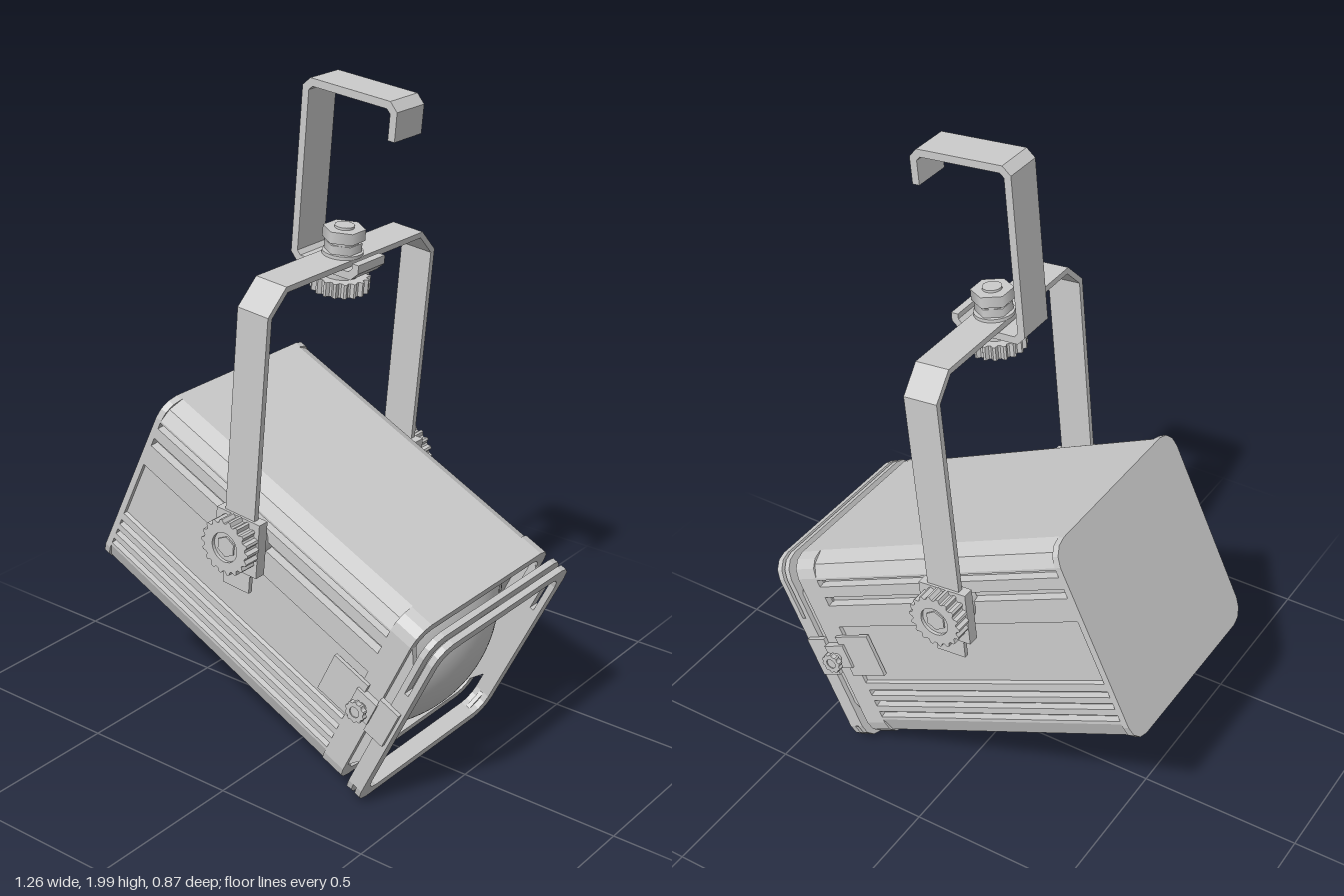
import * as THREE from 'three';

const grey = new THREE.MeshStandardMaterial({ color: 0xcccccc });

function add(parent, name, geo, x = 0, y = 0, z = 0) {
  const m = new THREE.Mesh(geo, grey);
  m.name = name;
  m.position.set(x, y, z);
  parent.add(m);
  return m;
}

const toShape = pts => new THREE.Shape(pts.map(p => new THREE.Vector2(p[0], p[1])));
const box = (x, y, z) => new THREE.BoxGeometry(x, y, z);

// Extrudes a (z, y) outline along x from x0 to x1.
function alongX(shape, x0, x1) {
  return new THREE.ExtrudeGeometry(shape, { depth: x1 - x0, bevelEnabled: false, curveSegments: 4 })
    .rotateY(Math.PI / 2).translate(x0, 0, 0);
}

// Rounded square outline, counter-clockwise, corner in three facets.
function square(hw, hv, r) {
  const pts = [];
  for (let q = 0; q < 4; q++) {
    const sx = q === 0 || q === 3 ? 1 : -1, sy = q < 2 ? 1 : -1;
    for (let i = 0; i <= 3; i++) {
      const a = (q + i / 3) * Math.PI / 2;
      pts.push([sx * (hw - r) + r * Math.cos(a), sy * (hv - r) + r * Math.sin(a)]);
    }
  }
  return pts;
}

function ring(hw, hv, r, t) {
  const s = toShape(square(hw, hv, r));
  s.holes.push(new THREE.Path(square(hw - t, hv - t, r * 0.8).map(p => new THREE.Vector2(...p))));
  return s;
}

// Bent flat strip of constant thickness, with its corners cut by r, centred in depth.
function strip(points, t, width, r) {
  const P = points.map(p => new THREE.Vector2(...p)), path = [P[0]];
  for (let i = 1; i < P.length - 1; i++) {
    for (const n of [P[i - 1], P[i + 1]]) {
      path.push(P[i].clone().add(n.clone().sub(P[i]).setLength(r)));
    }
  }
  path.push(P[P.length - 1]);
  const a = [], b = [];
  path.forEach((p, i) => {
    const d0 = p.clone().sub(path[Math.max(i - 1, 0)]).normalize();
    const d1 = path[Math.min(i + 1, path.length - 1)].clone().sub(p).normalize();
    const d = d0.clone().add(d1).normalize();
    const k = t / 2 / Math.max(0.5, d.dot(i ? d0 : d1));
    a.push([p.x - d.y * k, p.y + d.x * k]);
    b.unshift([p.x + d.y * k, p.y - d.x * k]);
  });
  return new THREE.ExtrudeGeometry(toShape([...a, ...b]), { depth: width, bevelEnabled: false })
    .translate(0, 0, -width / 2);
}

// Toothed hand knob along z, starting at z = 0.
function knob(parent, name, r, depth, teeth, bore) {
  const g = new THREE.Group();
  g.name = name;
  const pts = [];
  for (let i = 0; i < teeth * 4; i++) {
    const a = i / (teeth * 4) * Math.PI * 2, q = i % 4 < 2 ? r : r * 0.88;
    pts.push([q * Math.cos(a), q * Math.sin(a)]);
  }
  const s = toShape(pts);
  s.holes.push(new THREE.Path().absarc(0, 0, bore, 0, Math.PI * 2, true));
  add(g, 'knobGrip', new THREE.ExtrudeGeometry(s, { depth, bevelEnabled: false }));
  add(g, 'knobCore', new THREE.CylinderGeometry(bore, bore, depth * 0.8, 24).rotateX(Math.PI / 2), 0, 0, depth * 0.4);
  parent.add(g);
  return g;
}

// Ribbed housing outline: recessed centre panel and long grooves on both sides.
function ribbedOutline() {
  const w = 0.33, h = 0.322;
  const side = [[w, -0.25]];
  for (const [v0, v1, d] of [[-0.24, -0.22, 0.02], [-0.2, -0.18, 0.02], [-0.16, -0.14, 0.02],
    [-0.115, 0.09, 0.012], [0.165, 0.195, 0.025], [0.232, 0.255, 0.025]]) {
    side.push([w, v0], [w - d, v0 + 0.004], [w - d, v1 - 0.004], [w, v1]);
  }
  const right = [[0.265, -h], [0.31, -h + 0.022], ...side, [w, h - 0.06], [0.31, h - 0.022], [0.265, h]];
  return toShape([...right, ...right.map(([x, y]) => [-x, y]).reverse()]);
}

function buildHead() {
  const head = new THREE.Group();
  head.name = 'lampHead';
  const outline = toShape(square(0.33, 0.322, 0.06));
  add(head, 'backCap', alongX(outline, -0.505, -0.485));
  add(head, 'ribbedHousing', alongX(ribbedOutline(), -0.485, 0.425));
  add(head, 'frontCollar', alongX(ring(0.33, 0.322, 0.06, 0.03), 0.425, 0.5));
  add(head, 'lensPlate', alongX(toShape(square(0.31, 0.3, 0.05)), 0.42, 0.45));

  // Domed lens and its retaining ring
  add(head, 'lens', new THREE.SphereGeometry(0.398, 48, 16, 0, Math.PI * 2, 0, 0.798)
    .rotateZ(-Math.PI / 2), 0.57 - 0.398);
  add(head, 'lensRing', new THREE.TorusGeometry(0.283, 0.008, 8, 48).rotateY(Math.PI / 2), 0.452);

  // Front accessory frame with a slot open at the top
  const frame = new THREE.Group();
  frame.name = 'accessoryFrame';
  frame.position.y = -0.007;
  head.add(frame);
  add(frame, 'rearFrame', alongX(ring(0.33, 0.33, 0.06, 0.036), 0.53, 0.548));
  add(frame, 'frontFrame', alongX(ring(0.33, 0.33, 0.06, 0.036), 0.561, 0.58));
  add(frame, 'slotFiller', alongX(toShape([[-0.33, 0.13], [-0.33, -0.27], [-0.27, -0.33], [0.27, -0.33],
    [0.33, -0.27], [0.33, 0.13], [0.294, 0.13], [0.294, -0.25], [0.25, -0.294], [-0.25, -0.294],
    [-0.294, -0.25], [-0.294, 0.13]]), 0.548, 0.561));

  // Latches joining the frame to the housing on both sides
  for (const s of [1, -1]) {
    const latch = new THREE.Group();
    latch.name = s > 0 ? 'frontLatch' : 'rearLatch';
    latch.rotation.y = s > 0 ? 0 : Math.PI;
    latch.scale.x = s;
    head.add(latch);
    const spacer = new THREE.ExtrudeGeometry(toShape([[0.48, -0.27], [0.5, -0.25], [0.535, -0.19],
      [0.535, 0.19], [0.5, 0.25], [0.48, 0.27]]), { depth: 0.018, bevelEnabled: false });
    add(latch, 'spacer', spacer, 0, 0, 0.296);
    add(latch, 'latchPlate', box(0.13, 0.14, 0.012), 0.385, -0.01, 0.335);
    add(latch, 'latchBlock', box(0.075, 0.08, 0.024), 0.465, -0.006, 0.338);
    add(latch, 'latchStrap', box(0.07, 0.13, 0.016), 0.535, -0.01, 0.335);
    add(latch, 'latchStem', new THREE.CylinderGeometry(0.014, 0.014, 0.03, 12).rotateX(Math.PI / 2), 0.467, -0.006, 0.36);
    knob(latch, 'latchKnob', 0.033, 0.016, 10, 0.016).position.set(0.467, -0.006, 0.37);
  }
  return head;
}

function buildYoke() {
  const yoke = new THREE.Group();
  yoke.name = 'yoke';
  add(yoke, 'yokeStrap', strip([[-0.368, -0.1], [-0.368, 0.753], [0.368, 0.753], [0.368, -0.1]], 0.017, 0.105, 0.065)
    .rotateY(Math.PI / 2));

  // Pivot hardware on both arms
  for (const s of [1, -1]) {
    const pivot = new THREE.Group();
    pivot.name = s > 0 ? 'frontPivot' : 'rearPivot';
    pivot.rotation.y = s > 0 ? 0 : Math.PI;
    pivot.scale.x = s;
    yoke.add(pivot);
    add(pivot, 'pivotSpacer', new THREE.CylinderGeometry(0.07, 0.07, 0.06, 24).rotateX(Math.PI / 2), 0, 0, 0.34);
    add(pivot, 'pivotPlate', box(0.155, 0.17, 0.035), 0, -0.005, 0.367);
    add(pivot, 'armTab', box(0.095, 0.09, 0.014), 0, -0.11, 0.368);
    const k = knob(pivot, 'pivotKnob', 0.084, 0.05, 18, 0.045);
    k.position.z = 0.386;
    add(k, 'pivotBolt', new THREE.CylinderGeometry(0.032, 0.032, 0.05, 6).rotateX(Math.PI / 2), 0, 0, 0.02);
  }

  // Clamp bolt through the top of the yoke
  const cyl = (name, r, y0, y1, n) =>
    add(yoke, name, new THREE.CylinderGeometry(r, r, y1 - y0, n), 0, (y0 + y1) / 2);
  cyl('clampBolt', 0.028, 0.65, 0.845, 16);
  cyl('washer', 0.058, 0.762, 0.772, 24);
  cyl('lowerNut', 0.053, 0.772, 0.797, 6);
  cyl('collar', 0.045, 0.797, 0.805, 20);
  cyl('upperNut', 0.06, 0.805, 0.838, 6);
  cyl('clampSleeve', 0.05, 0.69, 0.722, 20);
  const k = knob(yoke, 'clampKnob', 0.084, 0.042, 18, 0.045);
  k.rotation.x = Math.PI / 2;
  k.position.y = 0.7;
  return yoke;
}

export function createModel() {
  const model = new THREE.Group();
  model.name = 'stageLight';

  const head = buildHead();
  head.rotation.z = -0.45;
  head.position.set(-0.035, 0.56, -0.005);

  const yoke = buildYoke();
  yoke.rotation.z = -0.096;
  yoke.position.set(-0.034, 0.747, -0.005);

  model.add(head, yoke);

  // Hanging hook
  add(model, 'hangingHook', strip([[0.13, 1.505], [0.127, 1.467], [-0.085, 1.485], [-0.038, 1.987],
    [0.254, 1.96], [0.245, 1.866]], 0.022, 0.12, 0.018), 0, 0, -0.005);
  return model;
}
